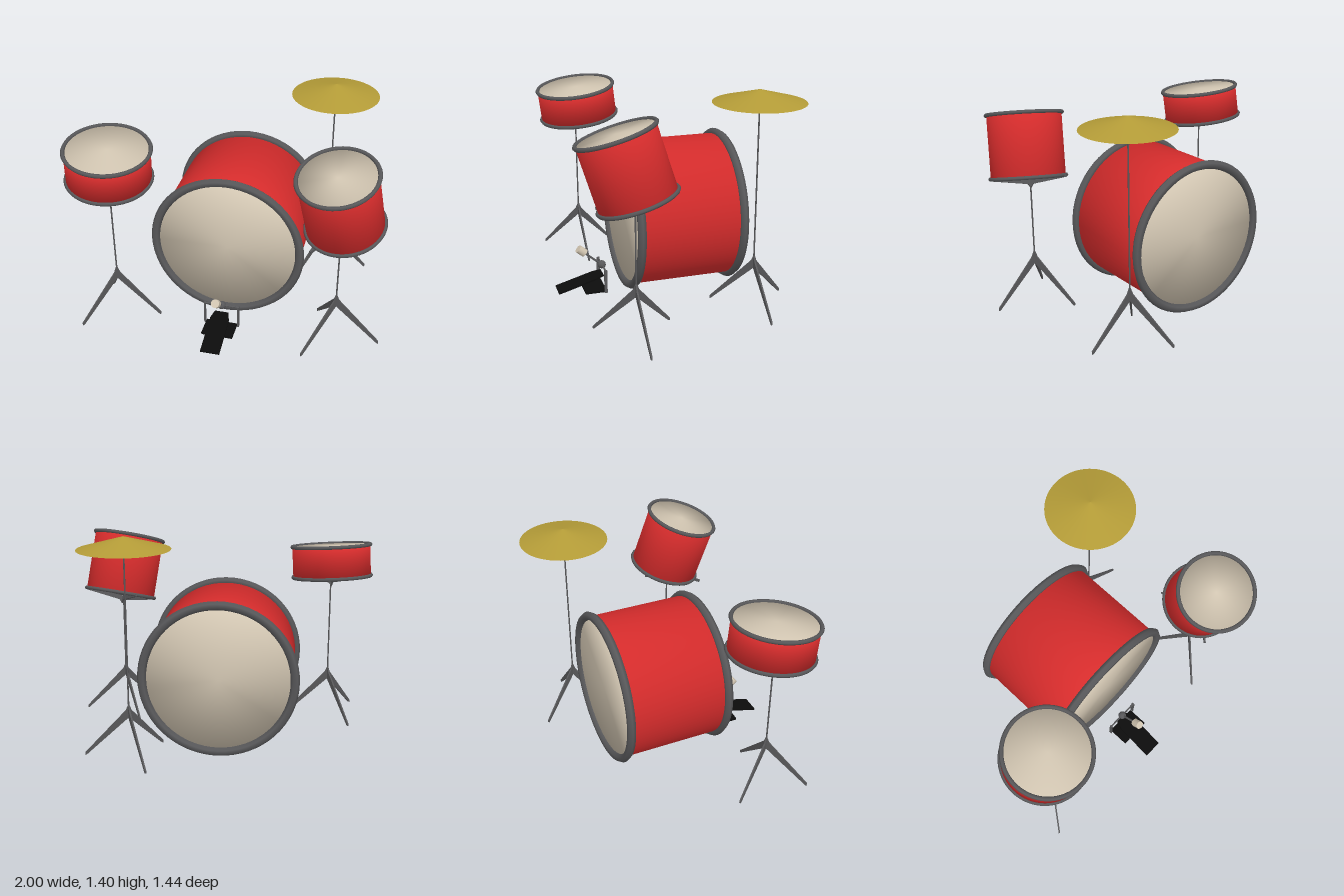
import * as THREE from 'three';
import { mergeVertices } from 'three/addons/utils/BufferGeometryUtils.js';

const V = (x, y, z) => new THREE.Vector3(x, y, z);
const UP = V(0, 1, 0);

function material(name, color, side = THREE.FrontSide) {
  const m = new THREE.MeshStandardMaterial({ color, side });
  m.name = name;
  return m;
}

export function createModel() {
  const red = material('red shell', 0xd62c2c);
  const skin = material('cream skin', 0xd2c6b2);
  const grey = material('grey metal', 0x58585a);
  const brass = material('brass', 0xb39b37, THREE.DoubleSide);
  const black = material('black', 0x0c0c0c);

  const model = new THREE.Group();
  model.name = 'drumKit';

  function add(parent, name, geometry, mat, x = 0, y = 0, z = 0) {
    const mesh = new THREE.Mesh(geometry, mat);
    mesh.name = name;
    mesh.position.set(x, y, z);
    parent.add(mesh);
    return mesh;
  }

  // Round bar between two points
  function bar(parent, name, a, b, radius, mat, sides = 10) {
    const mesh = add(parent, name, new THREE.CylinderGeometry(radius, radius, a.distanceTo(b), sides), mat);
    mesh.position.copy(a).lerp(b, 0.5);
    mesh.quaternion.setFromUnitVectors(UP, b.clone().sub(a).normalize());
    return mesh;
  }

  // Drum: shell with skins at both ends, and a hexagonal-section hoop at each end
  function drum(name, bottom, top, radius, hoopRadius, tube) {
    const group = new THREE.Group();
    group.name = name;
    group.position.copy(bottom);
    group.quaternion.setFromUnitVectors(UP, top.clone().sub(bottom).normalize());
    const length = bottom.distanceTo(top);
    let shell = new THREE.CylinderGeometry(radius, radius, length, 64);
    shell.deleteAttribute('normal');
    shell.deleteAttribute('uv');
    shell = mergeVertices(shell);
    shell.computeVertexNormals();
    add(group, 'shellAndSkins', shell, [red, skin, skin], 0, length / 2, 0);
    for (const y of [0, length]) {
      const hoop = new THREE.TorusGeometry(hoopRadius, tube, 6, 64).rotateX(Math.PI / 2);
      add(group, 'hoop', hoop, grey, 0, y, 0);
    }
    model.add(group);
    return group;
  }

  // Three flat blades with the same side profile, spread around the y axis
  const ANGLES = [-2, 128, -120].map(THREE.MathUtils.degToRad);
  function blades(parent, name, profile) {
    const shape = new THREE.Shape(profile.map(([r, y]) => new THREE.Vector2(r, y)));
    for (const angle of ANGLES) {
      const geometry = new THREE.ExtrudeGeometry(shape, { depth: 0.01, bevelEnabled: false });
      geometry.translate(0, 0, -0.005);
      add(parent, name, geometry, grey).rotation.y = -angle;
    }
  }

  // Tripod stand with a thin pole
  function stand(name, x, z, height) {
    const group = new THREE.Group();
    group.name = name;
    group.position.set(x, 0, z);
    bar(group, 'pole', V(0, 0.27, 0), V(0, height, 0), 0.005, grey);
    blades(group, 'leg', [[0, 0.265], [0.275, 0.008], [0.285, 0.004], [0.285, 0.022], [0.02, 0.31], [0, 0.355]]);
    model.add(group);
    return group;
  }

  // Arms that carry a drum on top of a stand, tilted with the drum
  function basket(name, x, y, z, support, reach) {
    const group = new THREE.Group();
    group.name = name;
    group.position.set(x, y, z);
    group.quaternion.copy(support.quaternion);
    blades(group, 'arm', [[0, -0.07], [0.02, -0.045], [reach, -0.012], [reach, 0.005], [0, -0.015]]);
    model.add(group);
  }

  // Drums
  drum('bassDrum', V(-0.02, 0.513, -0.4), V(-0.02, 0.513, 0.265), 0.47, 0.475, 0.028);
  const tom = drum('tom', V(0.733, 0.867, 0.365), V(0.68, 1.245, 0.475), 0.234, 0.237, 0.013);
  const snare = drum('snare', V(-0.727, 1.01, 0.395), V(-0.715, 1.215, 0.42), 0.262, 0.263, 0.013);

  // Stands
  stand('tomStand', 0.715, 0.377, 0.84);
  basket('tomBasket', 0.715, 0.861, 0.377, tom, 0.26);
  stand('snareStand', -0.722, 0.423, 0.98);
  basket('snareBasket', -0.722, 1.006, 0.423, snare, 0.25);
  const cymbalStand = stand('cymbalStand', 0.535, -0.435, 1.4);

  // Cymbal: open cone
  add(cymbalStand, 'cymbal', new THREE.ConeGeometry(0.282, 0.078, 64, 1, true), brass, 0, 1.367, 0);

  // Bass pedal
  const pedal = new THREE.Group();
  pedal.name = 'bassPedal';
  pedal.position.x = -0.018;
  model.add(pedal);
  add(pedal, 'basePlate', new THREE.BoxGeometry(0.205, 0.014, 0.14), black, 0, 0.012, 0.478);
  for (const side of [-1, 1]) {
    add(pedal, 'post', new THREE.BoxGeometry(0.01, 0.16, 0.02), grey, side * 0.112, 0.085, 0.415);
  }
  bar(pedal, 'axle', V(-0.117, 0.16, 0.415), V(0.117, 0.16, 0.415), 0.006, grey);
  add(pedal, 'axleHub', new THREE.SphereGeometry(0.027, 20, 14), grey, 0, 0.16, 0.415);
  bar(pedal, 'beaterRod', V(0, 0.16, 0.415), V(0, 0.265, 0.54), 0.007, grey);
  bar(pedal, 'beater', V(0, 0.255, 0.527), V(0, 0.291, 0.57), 0.027, skin, 24);

  // Sloping foot board with clipped upper corners
  const board = new THREE.Shape([
    [-0.062, 0], [0.062, 0], [0.062, 0.26], [0.045, 0.317], [-0.045, 0.317], [-0.062, 0.26],
  ].map(([x, y]) => new THREE.Vector2(x, y)));
  const boardGeometry = new THREE.ExtrudeGeometry(board, { depth: 0.011, bevelEnabled: false });
  add(pedal, 'footBoard', boardGeometry, black, 0, 0.009, 0.717).rotation.x = -Math.PI / 2 + 0.275;

  return model;
}
